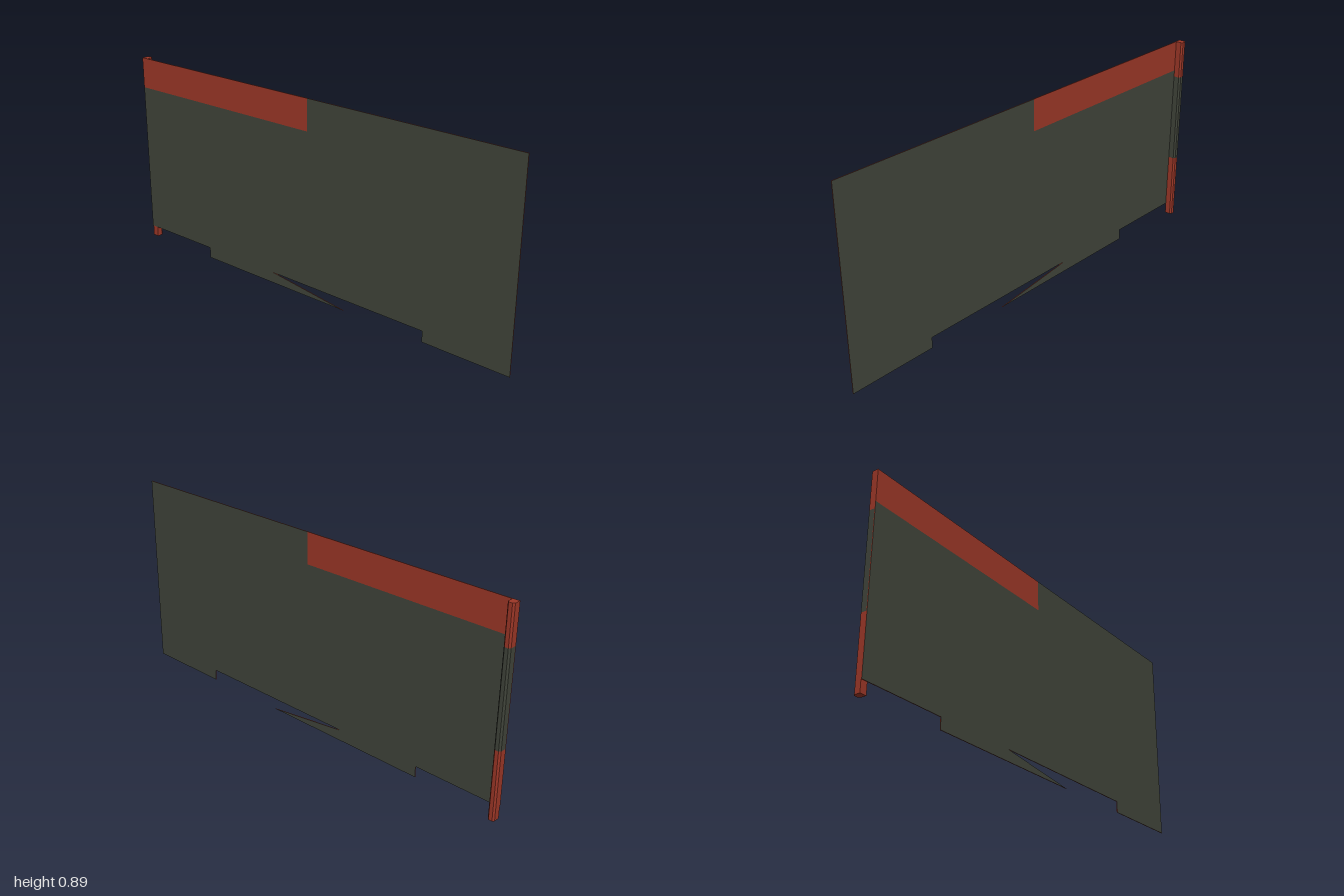
import * as THREE from 'three';

const H = 0.89, FRONT = 0.018, THICK = 0.003;

function polygon(points) {
  return new THREE.Shape(points.map(([x, y]) => new THREE.Vector2(x, y)));
}

export function createModel() {
  const green = new THREE.MeshStandardMaterial({ color: 0x40443a });
  green.name = 'dark green';
  const red = new THREE.MeshStandardMaterial({ color: 0x9c3727 });
  red.name = 'brick red';

  const model = new THREE.Group();
  model.name = 'signPanel';

  // Thin sheet with flat faces in one colour and red edges
  function sheet(name, points, face) {
    const geo = new THREE.ExtrudeGeometry(polygon(points), { depth: THICK, bevelEnabled: false });
    const mesh = new THREE.Mesh(geo, [face, red]);
    mesh.name = name;
    mesh.position.z = FRONT - THICK;
    model.add(mesh);
  }

  // Main panel with its notched, torn lower edge
  sheet('panel', [
    [-1, 0.05], [-0.6, 0.05], [-0.6, 0], [0.2, 0], [-0.2, 0.05], [0.6, 0.05],
    [0.6, 0], [1, 0], [1, H], [0, H], [0, 0.75], [-1, 0.75],
  ], green);

  // Red band along the upper edge
  sheet('topBand', [[-1, 0.75], [0, 0.75], [0, H], [-1, H]], red);

  // Post behind the panel: flat front, bevelled back, banded in height
  const section = polygon([
    [-1, -0.015], [-0.97, -0.015], [-0.97, 0.011], [-0.977, 0.018], [-0.993, 0.018], [-1, 0.011],
  ]);
  const bands = [
    ['postBase', 0, 0.305, red],
    ['postMiddle', 0.305, 0.72, green],
    ['postTop', 0.72, H, red],
  ];
  for (const [name, y0, y1, material] of bands) {
    const geo = new THREE.ExtrudeGeometry(section, { depth: y1 - y0, bevelEnabled: false });
    geo.rotateX(-Math.PI / 2); // section y becomes -z, depth becomes height
    const mesh = new THREE.Mesh(geo, material);
    mesh.name = name;
    mesh.position.y = y0;
    model.add(mesh);
  }

  return model;
}
